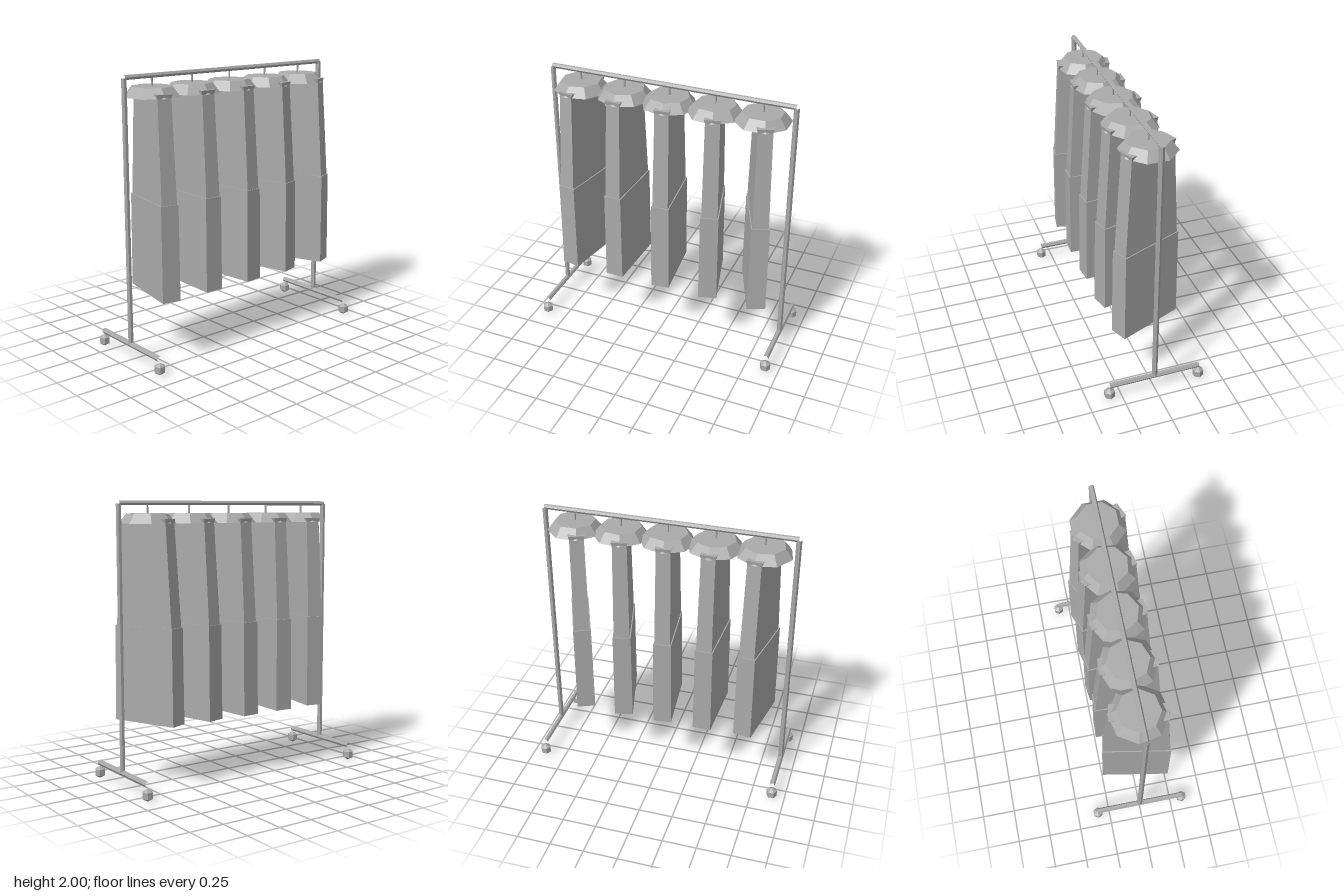
import * as THREE from 'three';

const grey = new THREE.MeshStandardMaterial({ color: 0xaaaaaa, flatShading: true });
grey.name = 'plain grey';

function add(parent, name, geometry, x = 0, y = 0, z = 0) {
  const mesh = new THREE.Mesh(geometry, grey);
  mesh.name = name;
  mesh.position.set(x, y, z);
  parent.add(mesh);
  return mesh;
}

// Open six-sided tube along y with corners on the x axis
const tube = (radius, length) =>
  new THREE.CylinderGeometry(radius, radius, length, 6, 1, true, Math.PI / 6);

// Box whose top and bottom have different widths and depths
function taperedBox(y0, w0, d0, y1, w1, d1) {
  const geometry = new THREE.BoxGeometry(1, 1, 1);
  const p = geometry.attributes.position;
  for (let i = 0; i < p.count; i++) {
    const top = p.getY(i) > 0;
    p.setXYZ(i, p.getX(i) * (top ? w1 : w0), top ? y1 : y0, p.getZ(i) * (top ? d1 : d0));
  }
  geometry.computeVertexNormals();
  return geometry;
}

// Hanging garment: hook, shoulder cover, collar, bodice and skirt
function createGarment() {
  const garment = new THREE.Group();
  garment.name = 'garment';
  add(garment, 'hook', new THREE.CylinderGeometry(0.007, 0.007, 0.08, 6), 0, 1.94);
  add(garment, 'shoulderCover', new THREE.CylinderGeometry(0.145, 0.2, 0.068, 8), 0, 1.879);
  add(garment, 'collar', taperedBox(1.845, 0.1, 0.376, 1.875, 0.116, 0.386));
  add(garment, 'bodice', taperedBox(1.13, 0.115, 0.472, 1.847, 0.102, 0.378));
  add(garment, 'skirt', taperedBox(0.455, 0.135, 0.5, 1.135, 0.13, 0.485));
  return garment;
}

export function createModel() {
  const model = new THREE.Group();
  model.name = 'garmentRack';

  // Frame
  const rail = add(model, 'topRail', tube(0.018, 1.81), 0, 1.984);
  rail.rotation.set(Math.PI / 2, 0, Math.PI / 2);
  for (const side of [-1, 1]) {
    const x = side * 0.904;
    add(model, 'post', tube(0.02, 1.86), x, 1.05);
    add(model, 'foot', tube(0.02, 0.68), x, 0.118).rotation.x = Math.PI / 2;
    for (const end of [-1, 1]) {
      add(model, 'caster', new THREE.SphereGeometry(0.045, 6, 3), x, 0.047, end * 0.34);
    }
  }

  // Row of garments, each turned a little further than the last
  for (let i = 0; i < 5; i++) {
    const garment = createGarment();
    garment.position.x = (i - 2) * 0.34;
    garment.rotation.y = THREE.MathUtils.degToRad(-10.2 + 8.2 * i);
    model.add(garment);
  }
  return model;
}
